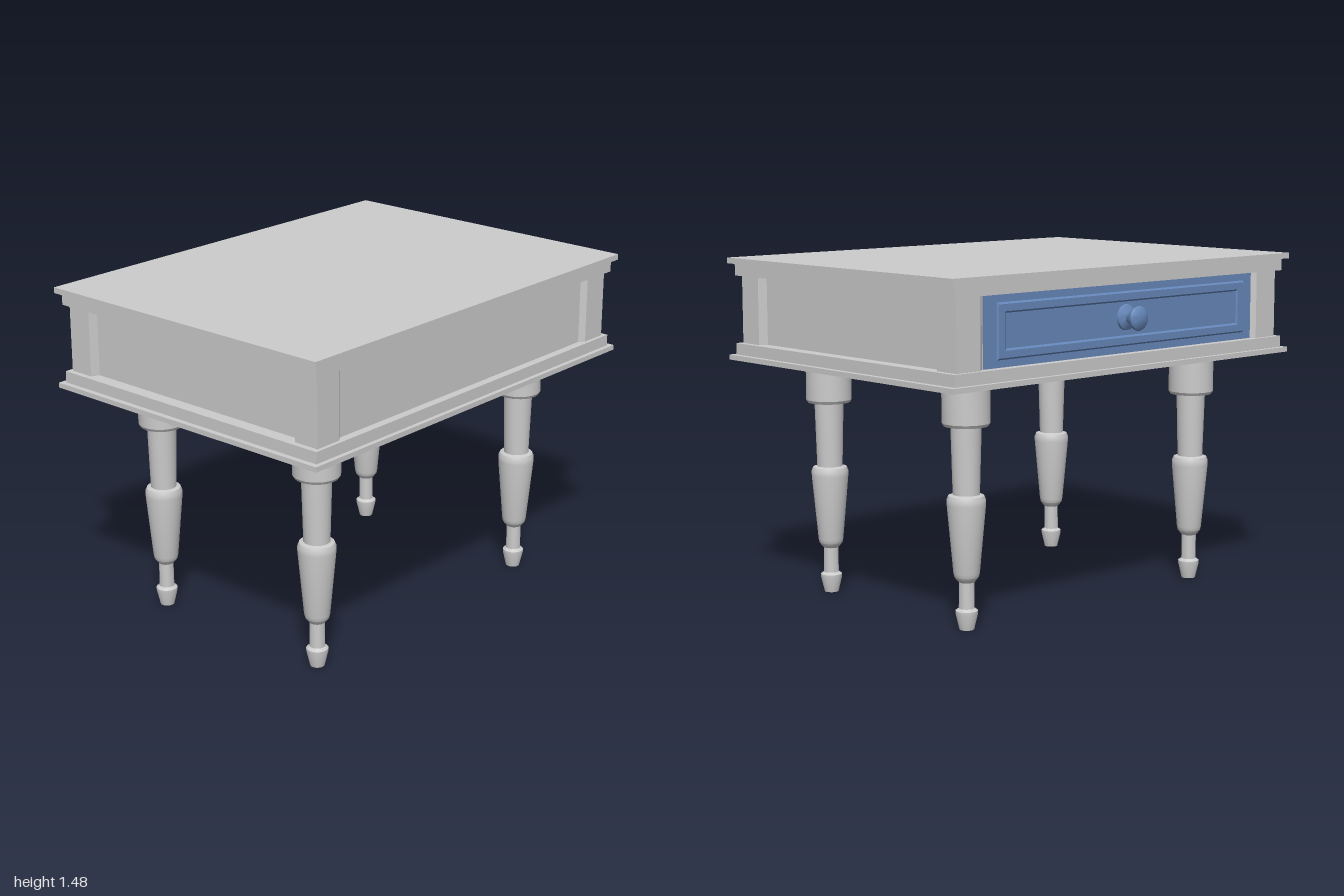
import * as THREE from 'three';
import { toCreasedNormals } from 'three/addons/utils/BufferGeometryUtils.js';

const CX = 0.025; // table centre in x (the knob sticks out on -x)
const V = (x, y) => new THREE.Vector2(x, y);

export function createModel() {
  const model = new THREE.Group();
  model.name = 'sideTable';
  const grey = new THREE.MeshStandardMaterial({ color: 0xcccccc });
  const blue = new THREE.MeshStandardMaterial({ color: 0x6688bb });

  function add(parent, name, geometry, material, x = 0, y = 0, z = 0) {
    const mesh = new THREE.Mesh(geometry, material);
    mesh.name = name;
    mesh.position.set(x, y, z);
    parent.add(mesh);
    return mesh;
  }
  const slab = (name, w, d, y0, y1) =>
    add(model, name, new THREE.BoxGeometry(w, y1 - y0, d), grey, CX, (y0 + y1) / 2, 0);
  const turned = (points, segments) =>
    toCreasedNormals(new THREE.LatheGeometry(points.map(([r, y]) => V(r, y)), segments), 0.5);

  // Stepped mouldings above and below the case
  slab('tableTop', 1.48, 2, 1.458, 1.483);
  slab('topMoulding', 1.44, 1.95, 1.405, 1.458);
  slab('baseMoulding', 1.44, 1.95, 1.06, 1.11);
  slab('basePlate', 1.48, 2, 1.038, 1.06);

  // Case: corner posts with bevelled inner edges and recessed panels, as one plan outline
  const quarter = [
    [0.703, 0.8 - 0.8], [0.683, 0], [0.683, 0.8], [0.703, 0.825],
    [0.703, 0.95], [0.587, 0.95], [0.571, 0.915], [0, 0.915],
  ].slice(1);
  const flip = (sx, sz, reverse) => {
    const q = quarter.map(([x, z]) => V(x * sx, z * sz));
    return (reverse ? q.reverse() : q).slice(0, -1);
  };
  const outline = [
    ...flip(1, 1, false), ...flip(-1, 1, true), ...flip(-1, -1, false), ...flip(1, -1, true),
  ];
  const caseGeo = new THREE.ExtrudeGeometry(new THREE.Shape(outline), { depth: 0.295, bevelEnabled: false });
  caseGeo.rotateX(-Math.PI / 2);
  add(model, 'case', caseGeo, grey, CX, 1.11, 0);

  // Drawer on the -x side
  const drawer = new THREE.Group();
  drawer.name = 'drawer';
  model.add(drawer);
  add(drawer, 'drawerFront', new THREE.BoxGeometry(0.02, 0.29, 1.59), blue, -0.659, 1.2575, 0);
  const rect = (T, w, h) => new T([V(-w, -h), V(w, -h), V(w, h), V(-w, h)]);
  const frame = rect(THREE.Shape, 0.73, 0.107);
  frame.holes.push(rect(THREE.Path, 0.695, 0.078));
  const frameGeo = new THREE.ExtrudeGeometry(frame, {
    depth: 0.006, bevelThickness: 0.007, bevelSize: 0.007, bevelSegments: 1,
  });
  frameGeo.rotateY(-Math.PI / 2);
  add(drawer, 'drawerFrame', frameGeo, blue, -0.669, 1.2575, 0);

  // Knob with its round backing plate, turned about the x axis
  const knob = add(drawer, 'knob', turned([
    [0, 0], [0.055, 0], [0.053, 0.01], [0.035, 0.02], [0.025, 0.024], [0.027, 0.032],
    [0.05, 0.068], [0.052, 0.074], [0.049, 0.08], [0.034, 0.09], [0, 0.094],
  ], 24), blue, -0.669, 1.262, 0);
  knob.rotation.z = Math.PI / 2;

  // Four turned legs
  const legGeo = turned([
    [0, 0], [0.031, 0], [0.047, 0.068], [0.047, 0.08], [0.033, 0.09], [0.032, 0.2],
    [0.036, 0.203], [0.051, 0.222], [0.055, 0.24], [0.081, 0.525], [0.081, 0.545], [0.074, 0.562],
    [0.056, 0.567], [0.064, 0.85], [0.092, 0.85], [0.1, 0.863], [0.1, 1.045],
  ], 24);
  for (const sx of [-1, 1]) {
    for (const sz of [-1, 1]) {
      const name = (sz > 0 ? 'front' : 'back') + (sx > 0 ? 'Left' : 'Right') + 'Leg';
      add(model, name, legGeo, grey, CX + sx * 0.452, 0, sz * 0.679);
    }
  }
  return model;
}
